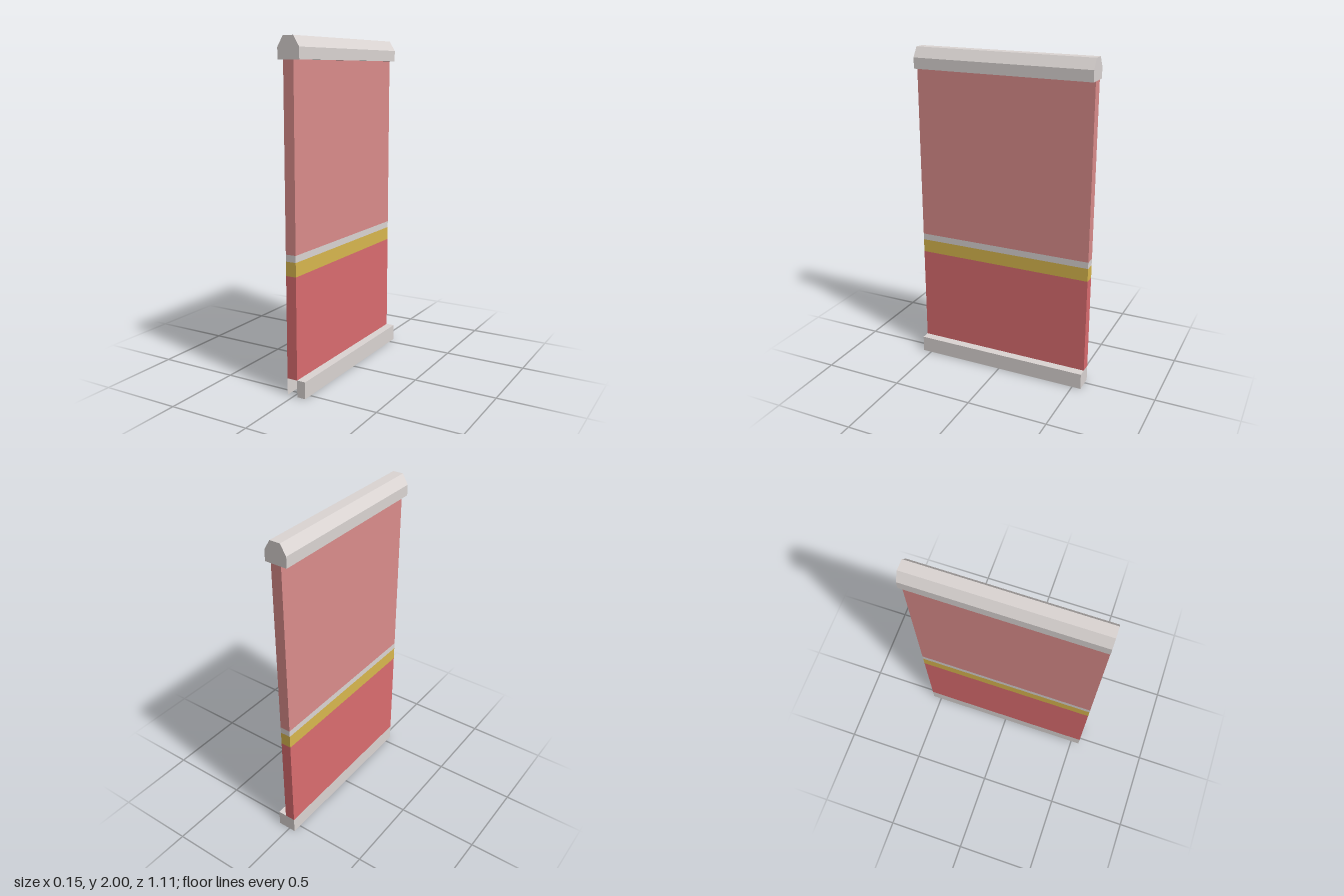
import * as THREE from 'three';

const HALF = 0.555;              // half length along z
const X0 = -0.041, X1 = 0.024;   // wall faces
const LEDGE = 0.077;             // outer face of the base ledge

const material = (name, color, side = THREE.FrontSide) => {
  const m = new THREE.MeshStandardMaterial({ color, side });
  m.name = name;
  return m;
};

// Flat four-cornered panels, corners counter-clockwise from outside
function panels(name, quads, mat) {
  const pos = [];
  for (const [a, b, c, d] of quads) pos.push(...a, ...b, ...c, ...a, ...c, ...d);
  const g = new THREE.BufferGeometry();
  g.setAttribute('position', new THREE.Float32BufferAttribute(pos, 3));
  g.computeVertexNormals();
  const mesh = new THREE.Mesh(g, mat);
  mesh.name = name;
  return mesh;
}

// Upright panel over the ground line from (xa, za) to (xb, zb)
const upright = (xa, za, xb, zb, y0, y1) =>
  [[xa, y0, za], [xb, y0, zb], [xb, y1, zb], [xa, y1, za]];

export function createModel() {
  const model = new THREE.Group();
  model.name = 'wallPanel';
  const stone = material('pale stone', 0xdcd6d4, THREE.DoubleSide);
  const pink = material('pink', 0xdc8d8c, THREE.DoubleSide);
  const yellow = material('mustard', 0xdab84f, THREE.DoubleSide);
  const red = material('red', 0xdc6d70, THREE.DoubleSide);

  // Wall: open sleeves of colour stacked from the base to the coping
  const bands = [
    ['lowerWall', 0.1, 0.7, red],
    ['yellowStripe', 0.7, 0.782, yellow],
    ['paleStripe', 0.782, 0.822, stone],
    ['upperWall', 0.822, 1.875, pink],
  ];
  for (const [name, y0, y1, mat] of bands) {
    model.add(panels(name, [
      upright(X0, HALF, X1, HALF, y0, y1),
      upright(X1, HALF, X1, -HALF, y0, y1),
      upright(X1, -HALF, X0, -HALF, y0, y1),
      upright(X0, -HALF, X0, HALF, y0, y1),
    ], mat));
  }

  // Base: hollow skirting with a ledge on one side, open below and under the front of the wall
  model.add(panels('skirting', [
    upright(X1, HALF, LEDGE, HALF, 0, 0.1),
    upright(LEDGE, HALF, LEDGE, -HALF, 0, 0.1),
    upright(LEDGE, -HALF, X0, -HALF, 0, 0.1),
    upright(X0, -HALF, X0, HALF, 0, 0.1),
    [[X1, 0.1, HALF], [LEDGE, 0.1, HALF], [LEDGE, 0.1, -HALF], [X1, 0.1, -HALF]],
  ], stone));

  // Coping: bevelled cap along the top
  const profile = new THREE.Shape([
    [-0.077, 1.875], [0.061, 1.875], [0.061, 1.94], [X1, 2], [X0, 2], [-0.077, 1.94],
  ].map(([x, y]) => new THREE.Vector2(x, y)));
  const coping = new THREE.Mesh(
    new THREE.ExtrudeGeometry(profile, { depth: 2 * HALF, bevelEnabled: false }), stone);
  coping.position.z = -HALF;
  coping.name = 'coping';
  model.add(coping);

  return model;
}
